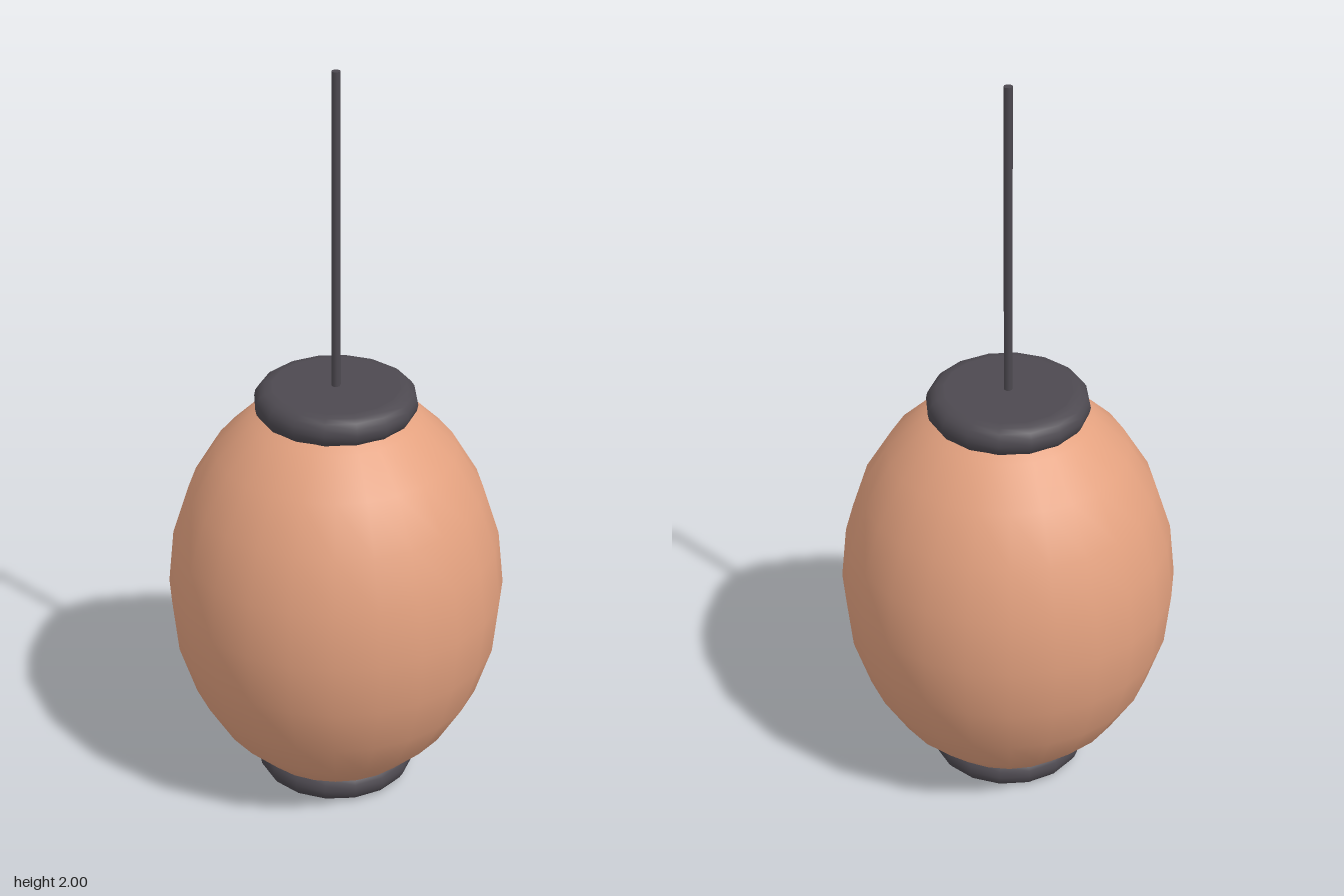
import * as THREE from 'three';

export function createModel() {
  const group = new THREE.Group();
  const paper = new THREE.MeshStandardMaterial({ color: 0xe3a17f });
  paper.name = 'warm paper';
  const dark = new THREE.MeshStandardMaterial({ color: 0x4d4950 });
  dark.name = 'dark trim';

  const add = (name, geometry, material, y) => {
    const mesh = new THREE.Mesh(geometry, material);
    mesh.name = name;
    mesh.position.y = y;
    group.add(mesh);
    return mesh;
  };

  // Egg-shaped lantern shade
  const shade = add('shade', new THREE.SphereGeometry(1, 24, 12), paper, 0.58);
  shade.scale.set(0.444, 0.572, 0.444);

  // Flat discs with a half-round rim, above and below the shade
  const tube = 0.0425, inner = 0.17;
  const profile = [new THREE.Vector2(0, -tube), new THREE.Vector2(inner - 0.004, -tube)];
  for (let i = 0; i <= 8; i++) {
    const a = -Math.PI / 2 + (i / 8) * Math.PI;
    profile.push(new THREE.Vector2(inner + tube * Math.cos(a), tube * Math.sin(a)));
  }
  profile.push(new THREE.Vector2(inner - 0.004, tube), new THREE.Vector2(0, tube));
  const cap = new THREE.LatheGeometry(profile, 16);
  add('bottomCap', cap, dark, tube);
  add('topCap', cap, dark, 1.1175);

  // Hanging cord
  add('cord', new THREE.CylinderGeometry(0.0115, 0.0115, 0.86, 8), dark, 1.57);

  return group;
}
